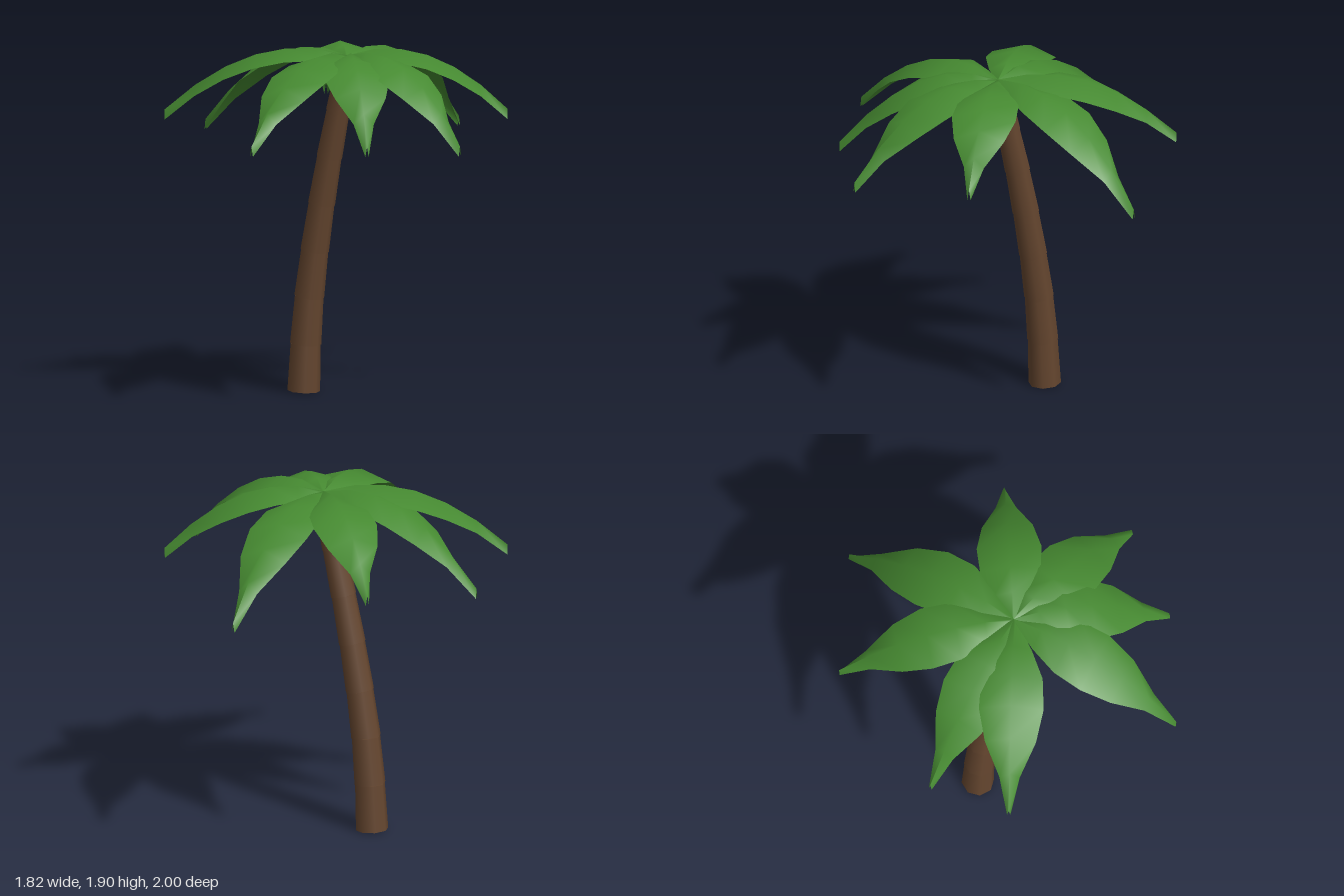
import * as THREE from 'three';

const bark = new THREE.MeshStandardMaterial({ color: 0x65462f });
bark.name = 'bark brown';
const husk = new THREE.MeshStandardMaterial({ color: 0x6b4730 });
husk.name = 'coconut brown';
const green = new THREE.MeshStandardMaterial({ color: 0x468a31, side: THREE.DoubleSide });
green.name = 'leaf green';

const CROWN = new THREE.Vector3(0, 1.865, 0.03);

// One tapered trunk ring between two points of the trunk curve
function trunkSegment(a, b, rBottom, rTop) {
  const dir = b.clone().sub(a);
  const mesh = new THREE.Mesh(new THREE.CylinderGeometry(rTop, rBottom, dir.length(), 8), bark);
  mesh.position.copy(a).add(b).multiplyScalar(0.5);
  mesh.quaternion.setFromUnitVectors(new THREE.Vector3(0, 1, 0), dir.normalize());
  return mesh;
}

// Arched leaf: a ridge line with both edges hanging below it
const HALF_WIDTH = [0.01, 0.1, 0.165, 0.175, 0.138, 0.055, 0.009];
function leafGeometry(tipX, tipY, tipZ) {
  const along = new THREE.Vector3(tipX - CROWN.x, 0, tipZ - CROWN.z);
  const side = new THREE.Vector3(along.z, 0, -along.x).normalize();
  const drop = CROWN.y - tipY, rise = 0.3;
  const pos = [], index = [];
  HALF_WIDTH.forEach((w, i) => {
    const t = i / (HALF_WIDTH.length - 1);
    const ridge = CROWN.clone().addScaledVector(along, t);
    ridge.y += rise * t - (rise + drop) * t * t;
    const sag = Math.min(0.055, 0.012 + 0.25 * t);
    for (const s of [-1, 0, 1]) {
      const p = ridge.clone().addScaledVector(side, s * w);
      p.y -= Math.abs(s) * sag;
      pos.push(p.x, p.y, p.z);
    }
    if (i > 0) {
      for (const k of [0, 1]) {
        const a = (i - 1) * 3 + k, b = a + 1, c = a + 3, d = a + 4;
        index.push(a, c, b, b, c, d);
      }
    }
  });
  const g = new THREE.BufferGeometry();
  g.setAttribute('position', new THREE.Float32BufferAttribute(pos, 3));
  g.setIndex(index);
  g.computeVertexNormals();
  return g;
}

export function createModel() {
  const model = new THREE.Group();
  model.name = 'palmTree';

  // Leaning trunk of seven rings
  const trunk = new THREE.Group();
  trunk.name = 'trunk';
  const path = [[-0.317, 0.007], [-0.303, 0.265], [-0.277, 0.525], [-0.237, 0.78],
    [-0.187, 1.04], [-0.13, 1.3], [-0.067, 1.555], [0, 1.82]]
    .map(([x, y]) => new THREE.Vector3(x, y, 0.03));
  for (let i = 0; i < path.length - 1; i++) {
    const r = 0.0885 - i * 0.0038;
    const ring = trunkSegment(path[i], path[i + 1], r, r - 0.007);
    ring.name = 'trunkRing' + (i + 1);
    trunk.add(ring);
  }
  model.add(trunk);

  // Coconuts under the crown
  [[-0.045, 1.755, 0.075], [0.06, 1.765, 0], [-0.035, 1.755, -0.025]].forEach((p, i) => {
    const nut = new THREE.Mesh(new THREE.SphereGeometry(0.045, 12, 8), husk);
    nut.position.set(...p);
    nut.name = 'coconut' + (i + 1);
    model.add(nut);
  });

  // Eight leaves, given by the ridge position at each tip
  const crown = new THREE.Group();
  crown.name = 'crown';
  [[-0.12, 1.415, -1], [0.65, 1.575, -0.54], [0.91, 1.465, 0.13], [0.65, 1.485, 0.59],
    [0.18, 1.485, 1], [-0.8, 1.555, 0.615], [-0.91, 1.445, 0.165], [-0.725, 1.575, -0.6]]
    .forEach((tip, i) => {
      const leaf = new THREE.Mesh(leafGeometry(...tip), green);
      leaf.name = 'leaf' + (i + 1);
      crown.add(leaf);
    });
  model.add(crown);
  return model;
}
